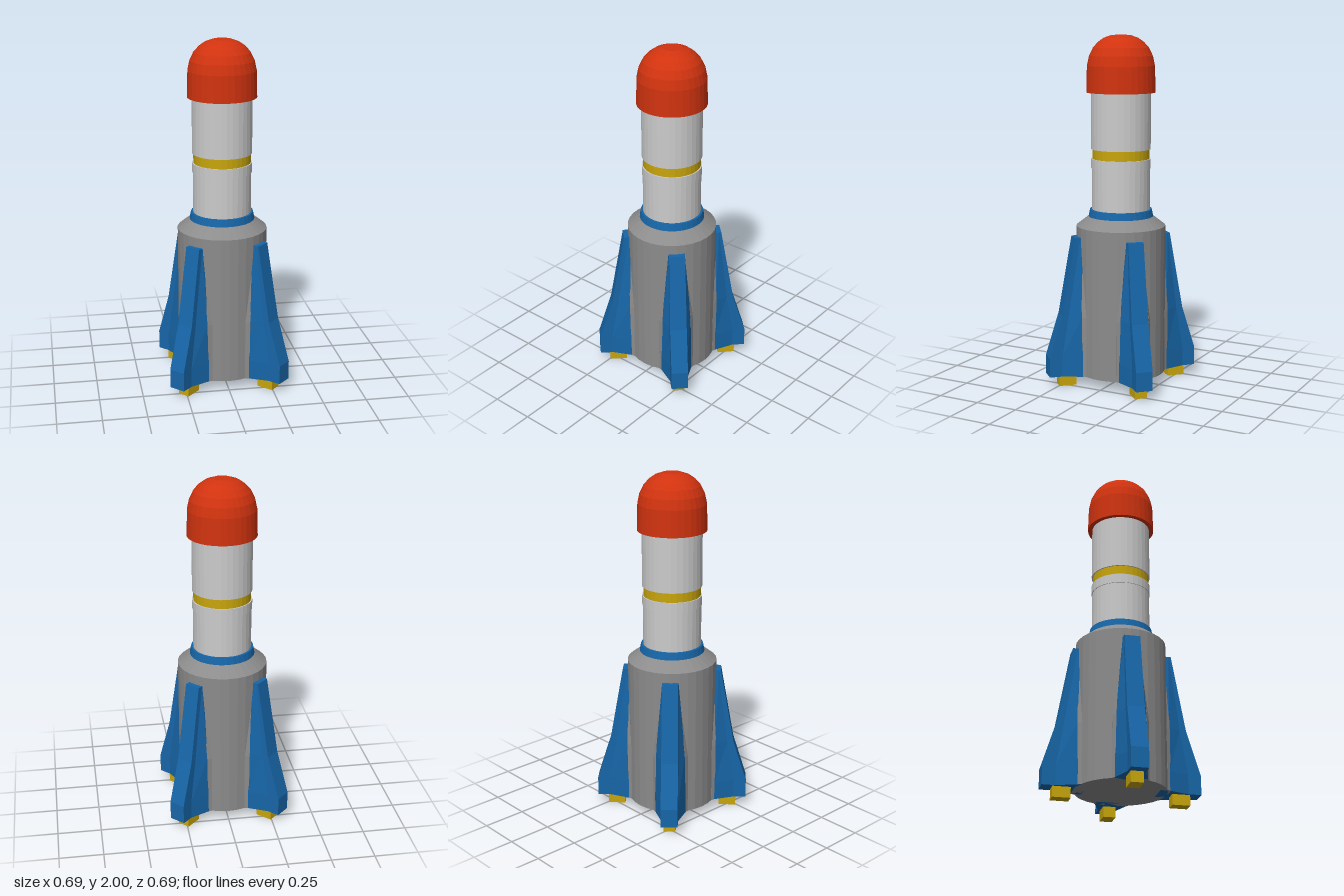
import * as THREE from 'three';

const SIDES = 32;
const paint = (color) => new THREE.MeshStandardMaterial({ color, flatShading: true });

// Solid of revolution from [radius, height] points, bottom to top.
function turned(name, points, material) {
  const profile = points.map(([r, y]) => new THREE.Vector2(r, y));
  const mesh = new THREE.Mesh(new THREE.LatheGeometry(profile, SIDES), material);
  mesh.name = name;
  return mesh;
}

// Solid through stacked sections. Each half outline lists [radial, lateral]
// from the outer end inward and is mirrored across the fin's middle plane.
function loft(levels, centre) {
  const rings = levels.map(({ y, half }) => {
    const a = half.map(([r, w]) => [r, y, -w]);
    const b = half.map(([r, w]) => [r, y, w]).reverse();
    return [...a, ...b];
  });
  const pos = [];
  const tri = (...pts) => pts.forEach((p) => pos.push(...p));
  const n = rings[0].length;
  const last = rings.length - 1;
  for (let i = 0; i < n; i++) {
    const j = (i + 1) % n;
    for (let k = 0; k < last; k++) {
      const lo = rings[k], hi = rings[k + 1];
      tri(lo[i], lo[j], hi[j]);
      tri(lo[i], hi[j], hi[i]);
    }
    tri([centre, levels[0].y, 0], rings[0][j], rings[0][i]);
    tri([centre, levels[last].y, 0], rings[last][i], rings[last][j]);
  }
  const geo = new THREE.BufferGeometry();
  geo.setAttribute('position', new THREE.Float32BufferAttribute(pos, 3));
  geo.computeVertexNormals();
  return geo;
}

export function createModel() {
  const model = new THREE.Group();
  model.name = 'rocket';
  const white = paint(0xcccccc);
  const grey = paint(0x8c8c8c);
  const red = paint(0xd1330f);
  const blue = paint(0x1766a8);
  const yellow = paint(0xc9a60c);

  // Lower stage with bevelled shoulder
  model.add(turned('lowerBody',
    [[0, 0.06], [0.256, 0.06], [0.256, 0.92], [0.185, 0.975], [0, 0.975]], grey));
  // Collar between the stages
  model.add(turned('collar',
    [[0, 0.97], [0.187, 0.97], [0.178, 1.015], [0, 1.015]], blue));
  // Upper stage in two lengths, parted by a band
  model.add(turned('upperBodyLower',
    [[0, 1.0], [0.166, 1.0], [0.166, 1.25], [0.17, 1.25], [0.17, 1.305], [0, 1.305]], white));
  model.add(turned('band',
    [[0, 1.3], [0.163, 1.3], [0.163, 1.362], [0, 1.362]], yellow));
  model.add(turned('upperBodyUpper',
    [[0, 1.36], [0.17, 1.36], [0.17, 1.69], [0, 1.69]], white));
  // Rounded nose cap
  model.add(turned('noseCap',
    [[0, 1.68], [0.196, 1.68], [0.192, 1.83], [0.18, 1.885], [0.158, 1.93],
      [0.13, 1.961], [0.098, 1.984], [0.053, 2], [0, 2]], red));

  // Fin: [height, outer radius, crease radius, root half width]
  const finLevels = [
    [0.06, 0.44, 0.367, 0.088],
    [0.17, 0.44, 0.367, 0.088],
    [0.42, 0.362, 0.325, 0.084],
    [0.865, 0.283, 0.27, 0.046],
  ].map(([y, outer, crease, root]) => ({
    y,
    half: [[outer, 0.048 - (y > 0.5 ? 0.003 : 0)], [crease, 0.048 - (y > 0.5 ? 0.003 : 0)],
      [0.254, root], [0.2, root]],
  }));
  const finGeo = loft(finLevels, 0.25);

  // Fillet joining the fin to the body: [height, half width]
  const filletGeo = loft([[0.06, 0.1], [0.41, 0.1], [0.82, 0.055]].map(([y, w]) => ({
    y,
    half: [[0.258, w - 0.015], [0.236, w], [0.2, w]],
  })), 0.22);

  const footGeo = new THREE.BoxGeometry(0.1, 0.07, 0.07);

  for (let i = 0; i < 4; i++) {
    const assembly = new THREE.Group();
    assembly.name = 'finAssembly';
    const fin = new THREE.Mesh(finGeo, blue);
    fin.name = 'fin';
    const fillet = new THREE.Mesh(filletGeo, grey);
    fillet.name = 'finFillet';
    const foot = new THREE.Mesh(footGeo, yellow);
    foot.name = 'foot';
    foot.position.set(0.33, 0.035, 0);
    assembly.add(fin, fillet, foot);
    assembly.rotation.y = Math.PI / 4 + i * Math.PI / 2;
    model.add(assembly);
  }
  return model;
}
